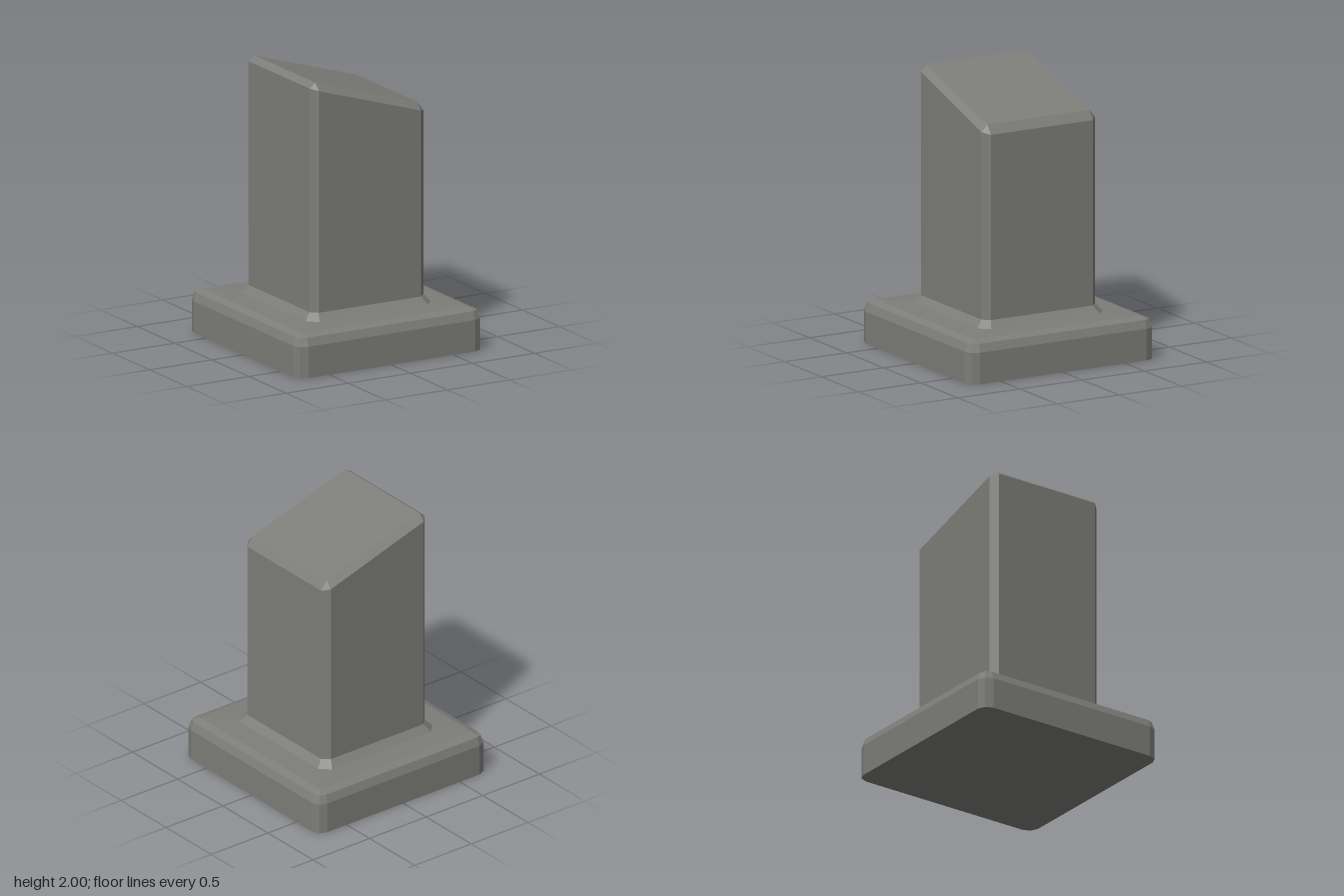
import * as THREE from 'three';

// Square ring with cut corners, counter-clockwise from above.
// corner: [x, -z] points of one corner; y: a height or a function of x
function ring(corner, y) {
  const points = [];
  for (let q = 0; q < 4; q++) {
    for (const [a, b] of corner) {
      const [x, w] = [[a, b], [-b, a], [-a, -b], [b, -a]][q];
      points.push(new THREE.Vector3(x, typeof y === 'function' ? y(x) : y, -w));
    }
  }
  return points;
}

// Faceted solid through the rings, capped at both ends
function loft(rings) {
  const positions = [];
  const tri = (a, b, c) => {
    if (new THREE.Triangle(a, b, c).getArea() < 1e-7) return;
    for (const p of [a, b, c]) positions.push(p.x, p.y, p.z);
  };
  const n = rings[0].length;
  const middle = (r) => r.reduce((s, p) => s.add(p), new THREE.Vector3()).divideScalar(n);
  const bottom = rings[0], top = rings[rings.length - 1];
  const low = middle(bottom), high = middle(top);
  for (let i = 0; i < n; i++) {
    const j = (i + 1) % n;
    for (let k = 0; k < rings.length - 1; k++) {
      const a = rings[k], b = rings[k + 1];
      tri(a[i], a[j], b[j]);
      tri(a[i], b[j], b[i]);
    }
    tri(low, bottom[j], bottom[i]);
    tri(high, top[i], top[j]);
  }
  const geometry = new THREE.BufferGeometry();
  geometry.setAttribute('position', new THREE.Float32BufferAttribute(positions, 3));
  geometry.computeVertexNormals();
  return geometry;
}

export function createModel() {
  const group = new THREE.Group();
  group.name = 'stonePillar';
  const stone = new THREE.MeshStandardMaterial({ color: 0x7d7d79 });
  stone.name = 'grey stone';

  const add = (name, rings) => {
    const mesh = new THREE.Mesh(loft(rings), stone);
    mesh.name = name;
    group.add(mesh);
  };
  // half width h, straight side ends at c, corner middle at m
  const round = (h, c, m) => [[h, c], [m, m], [c, h]];
  const cut = (h, c) => [[h, c], [c, h]];

  // Rounded plinth
  add('plinth', [
    ring(round(0.747, 0.67, 0.725), 0),
    ring(round(0.747, 0.67, 0.725), 0.225),
    ring(round(0.725, 0.67, 0.71), 0.283),
    ring(round(0.67, 0.6, 0.67), 0.304),
    ring(round(0.5, 0.45, 0.475), 0.31),
  ]);

  // Sloped skirt around the foot of the shaft
  add('skirt', [
    ring(cut(0.507, 0.437), 0.307),
    ring(cut(0.459, 0.41), 0.362),
  ]);

  // Shaft with bevelled edges and a slanted top
  const slant = (y) => (x) => y - 0.311 * x;
  add('shaft', [
    ring(cut(0.457, 0.41), 0.35),
    ring(cut(0.457, 0.41), slant(1.823)),
    ring(cut(0.41, 0.41), slant(1.8725)),
  ]);

  return group;
}
